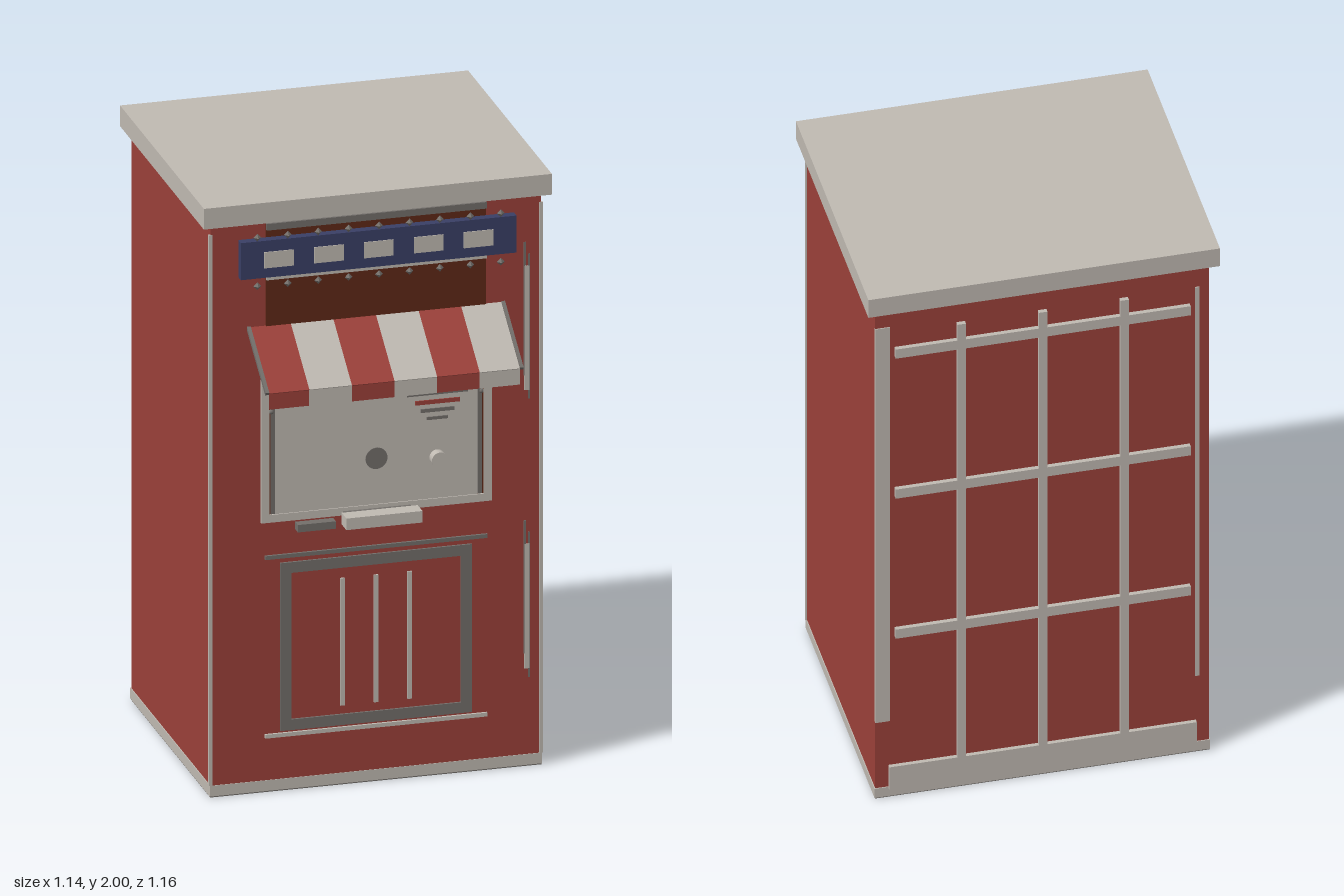
import * as THREE from 'three';

const mat = (name, color) => {
  const m = new THREE.MeshStandardMaterial({ color });
  m.name = name;
  return m;
};

export function createModel() {
  const model = new THREE.Group();
  model.name = 'boothKiosk';
  const red = mat('brick red', 0x9c413a);
  const light = mat('warm light grey', 0xc0bab2);
  const grey = mat('dark grey', 0x736f6b);
  const navy = mat('navy', 0x3a3f66);
  const brown = mat('dark brown', 0x5f2817);
  const redCloth = red.clone();
  redCloth.name = 'red cloth';
  redCloth.side = THREE.DoubleSide;
  const lightCloth = light.clone();
  lightCloth.name = 'light cloth';
  lightCloth.side = THREE.DoubleSide;

  const add = (name, geometry, material, x = 0, y = 0, z = 0, parent = model) => {
    const mesh = new THREE.Mesh(geometry, material);
    mesh.name = name;
    mesh.position.set(x, y, z);
    parent.add(mesh);
    return mesh;
  };
  // Box given by its limits on each axis
  const box = (name, material, [x0, x1], [y0, y1], [z0, z1], parent = model) =>
    add(name, new THREE.BoxGeometry(x1 - x0, y1 - y0, z1 - z0), material,
      (x0 + x1) / 2, (y0 + y1) / 2, (z0 + z1) / 2, parent);
  // Four bars around a rectangular opening
  const frame = (name, material, [x0, x1], [y0, y1], z, t) => {
    const g = new THREE.Group();
    g.name = name;
    box(name + 'Bottom', material, [x0, x1], [y0, y0 + t], z, g);
    box(name + 'Top', material, [x0, x1], [y1 - t, y1], z, g);
    box(name + 'Right', material, [x0, x0 + t], [y0 + t, y1 - t], z, g);
    box(name + 'Left', material, [x1 - t, x1], [y0 + t, y1 - t], z, g);
    model.add(g);
  };

  // Cabinet, plinth with dark underside, and roof slab
  box('body', red, [-0.543, 0.543], [0.04, 1.93], [-0.552, 0.36]);
  box('base', light, [-0.546, 0.546], [0.004, 0.04], [-0.555, 0.362]);
  box('underside', grey, [-0.544, 0.544], [0, 0.004], [-0.553, 0.36]);
  box('roof', light, [-0.572, 0.572], [1.93, 2], [-0.58, 0.385]);
  for (const s of [-1, 1]) {
    add('cornerTrim', new THREE.BoxGeometry(0.012, 1.86, 0.008), light, s * 0.543, 0.97, 0.358);
  }

  // Brown backing behind the sign and serving window
  box('backingPanel', brown, [-0.362, 0.362], [0.93, 1.92], [0.355, 0.364]);

  // Sign board with five lit panes and two rows of bulbs
  box('signBoard', navy, [-0.453, 0.453], [1.75, 1.875], [0.364, 0.394]);
  for (let i = -2; i <= 2; i++) {
    add('signPane', new THREE.BoxGeometry(0.097, 0.054, 0.006), light, i * 0.164, 1.81, 0.394);
  }
  box('upperSignRail', grey, [-0.362, 0.362], [1.9, 1.922], [0.36, 0.372]);
  box('lowerSignRail', light, [-0.362, 0.362], [1.732, 1.748], [0.36, 0.372]);
  const bulb = new THREE.OctahedronGeometry(0.013);
  for (let i = -4; i <= 4; i++) {
    for (const y of [1.89, 1.726]) add('signBulb', bulb, grey, i * 0.1, y, 0.398);
  }

  // Striped awning with a hanging valance and side rods
  const awning = new THREE.Group();
  awning.name = 'awning';
  model.add(awning);
  const slope = Math.hypot(0.215, 0.147);
  const tilt = Math.atan2(0.147, 0.215);
  const edges = [-0.412, -0.28, -0.14, 0, 0.14, 0.28, 0.412];
  for (let i = 0; i < 6; i++) {
    const w = edges[i + 1] - edges[i], x = (edges[i] + edges[i + 1]) / 2;
    const cloth = i % 2 ? lightCloth : redCloth;
    add('awningStripe', new THREE.BoxGeometry(w, 0.006, slope), cloth, x, 1.5, 0.4675, awning).rotation.x = tilt;
    add('valanceStripe', new THREE.PlaneGeometry(w, 0.054), cloth, x, 1.401, 0.575, awning);
  }
  for (const s of [-1, 1]) {
    add('awningRod', new THREE.BoxGeometry(0.012, 0.012, slope), grey, s * 0.418, 1.501, 0.4675, awning).rotation.x = tilt;
  }

  // Serving window: outer frame, face plate and side posts
  frame('windowFrame', light, [-0.379, 0.379], [0.912, 1.41], [0.355, 0.371], 0.026);
  box('windowPlate', light, [-0.333, 0.333], [0.938, 1.385], [0.358, 0.367]);
  for (const s of [-1, 1]) {
    add('windowPost', new THREE.BoxGeometry(0.013, 0.445, 0.01), grey, s * 0.34, 1.162, 0.364);
    add('windowHinge', new THREE.SphereGeometry(0.008, 8, 6), grey, s * 0.345, 1.285, 0.367);
  }

  // Flat dial, projecting button and tapering slots
  const disc = (name, material, r, x, y, z0, z1) =>
    add(name, new THREE.CylinderGeometry(r, r, z1 - z0, 24), material, x, y, (z0 + z1) / 2).rotation.x = Math.PI / 2;
  disc('dial', grey, 0.036, 0, 1.093, 0.362, 0.37);
  disc('button', light, 0.026, 0.2, 1.076, 0.362, 0.398);
  [[0.2, 1.292, 0.006, grey], [0.146, 1.265, 0.014, red], [0.11, 1.237, 0.012, grey], [0.07, 1.21, 0.01, grey]]
    .forEach(([w, y, h, m]) => add('slot', new THREE.BoxGeometry(w, h, 0.006), m, 0.2, y, 0.368));

  // Counter shelf on its bracket, and small tray beneath
  box('counterShelf', light, [-0.125, 0.125], [0.896, 0.935], [0.405, 0.46]);
  box('shelfBracket', grey, [-0.11, 0.11], [0.9, 0.926], [0.36, 0.405]);
  box('coinTray', grey, [-0.265, -0.14], [0.878, 0.903], [0.36, 0.392]);

  // Lower door panel with rails and slats
  frame('doorFrame', grey, [-0.315, 0.315], [0.203, 0.77], [0.355, 0.367], 0.036);
  for (const x of [-0.11, 0, 0.11]) {
    add('doorSlat', new THREE.BoxGeometry(0.014, 0.43, 0.008), light, x, 0.483, 0.362);
  }
  box('upperDoorRail', grey, [-0.365, 0.365], [0.786, 0.799], [0.355, 0.368]);
  box('lowerDoorRail', light, [-0.365, 0.365], [0.183, 0.196], [0.355, 0.368]);

  // Narrow upright strips on the front edge
  for (const [y0, y1] of [[1.25, 1.77], [0.31, 0.83]]) {
    box('edgeStrip', light, [0.488, 0.504], [y0 + 0.02, y1 - 0.08], [0.355, 0.363]);
    box('edgeStripShade', grey, [0.486, 0.494], [y0 + 0.07, y1], [0.355, 0.362]);
    box('edgeStripFoot', grey, [0.5, 0.506], [y0 - 0.01, y1 - 0.04], [0.355, 0.3615]);
  }

  // Rear lattice, skirting and edge strips
  for (const x of [-0.265, 0, 0.265]) {
    add('rearUpright', new THREE.BoxGeometry(0.028, 1.74, 0.02), light, x, 0.97, -0.557);
  }
  for (const y of [0.65, 1.205, 1.76]) {
    add('rearCrossbar', new THREE.BoxGeometry(0.96, 0.036, 0.018), light, 0, y, -0.558);
  }
  box('rearSkirting', light, [-0.5, 0.5], [0.035, 0.125], [-0.566, -0.545]);
  box('rearEdgeStrip', light, [0.495, 0.543], [0.3, 1.86], [-0.555, -0.545]);
  box('rearEdgeStrip', light, [-0.512, -0.497], [0.3, 1.84], [-0.555, -0.545]);

  return model;
}
